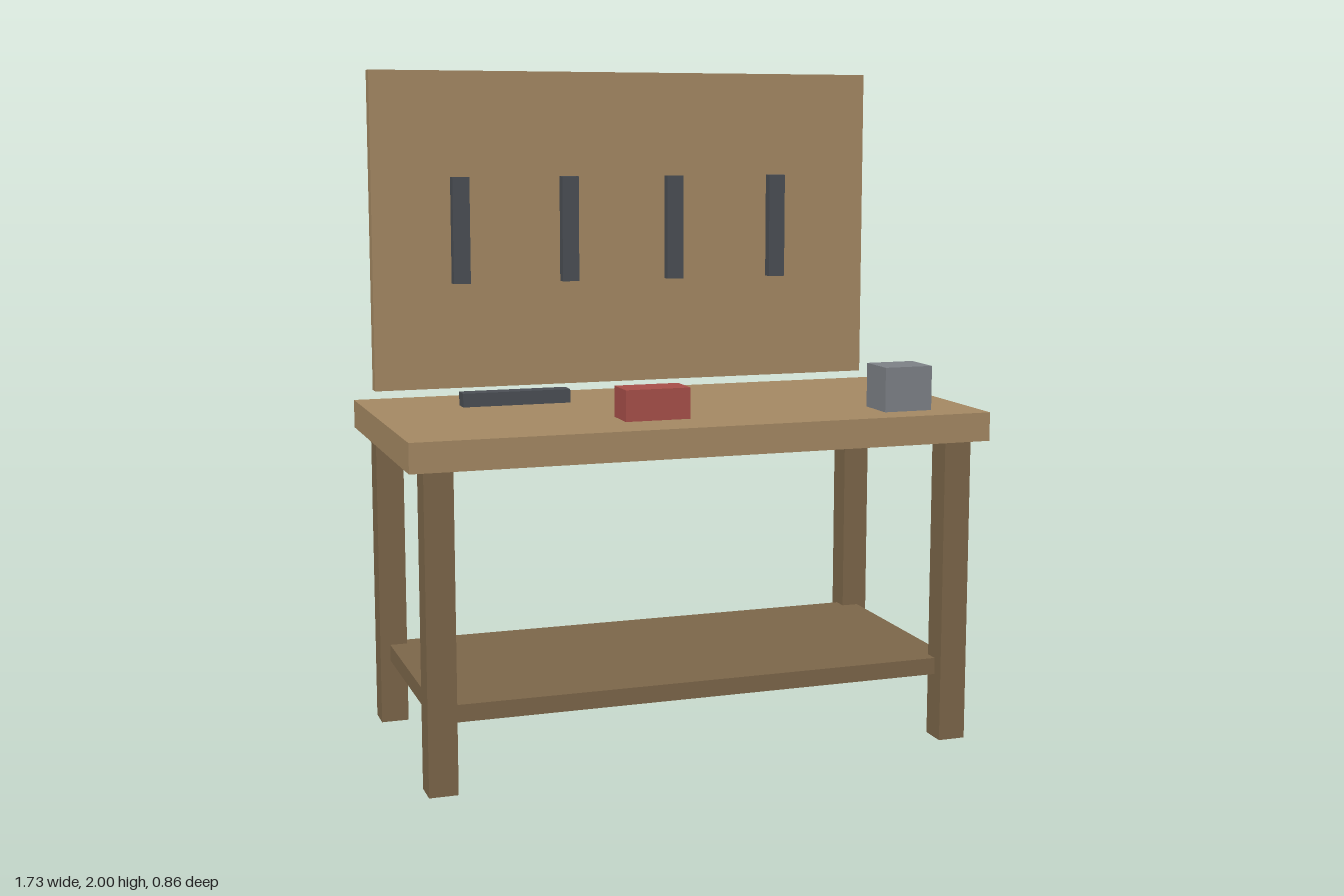
import * as THREE from 'three';

const paint = (name, color) => {
  const m = new THREE.MeshStandardMaterial({ color });
  m.name = name;
  return m;
};

export function createModel() {
  const model = new THREE.Group();
  model.name = 'workbench';

  const lightWood = paint('light wood', 0xa68a64);
  const darkWood = paint('dark wood', 0x7d674a);
  const darkSteel = paint('dark steel', 0x4b4f55);
  const grey = paint('grey metal', 0x7e8288);
  const red = paint('red paint', 0xa9504a);

  // Box given by its lower and upper limits on each axis
  const box = (name, material, [x0, x1], [y0, y1], [z0, z1]) => {
    const mesh = new THREE.Mesh(new THREE.BoxGeometry(x1 - x0, y1 - y0, z1 - z0), material);
    mesh.position.set((x0 + x1) / 2, (y0 + y1) / 2, (z0 + z1) / 2);
    mesh.name = name;
    model.add(mesh);
  };
  const around = (c, size) => [c - size / 2, c + size / 2];

  // Bench: top, four legs and lower shelf
  box('benchTop', lightWood, [-0.865, 0.865], [0.913, 0.998], [-0.432, 0.432]);
  for (const x of [-0.779, 0.779]) {
    for (const z of [-0.356, 0.358]) {
      box('leg', darkWood, around(x, 0.083), [0, 0.913], around(z, 0.083));
    }
  }
  box('shelf', darkWood, [-0.79, 0.79], [0.195, 0.245], [-0.36, 0.36]);

  // Back board with a row of hanging tools
  box('backBoard', lightWood, [-0.81, 0.81], [1.03, 2], [-0.411, -0.368]);
  for (const x of [-0.541, -0.195, 0.149, 0.495]) {
    box('hangingTool', darkSteel, around(x, 0.053), [1.355, 1.68], [-0.364, -0.332]);
  }

  // Items lying on the bench
  box('steelBar', darkSteel, [-0.6, -0.272], [1.01, 1.051], [-0.136, -0.082]);
  box('redBox', red, [-0.208, -0.013], [0.998, 1.089], [0.16, 0.268]);
  box('greyBlock', grey, [0.572, 0.722], [0.998, 1.13], [0.204, 0.334]);

  return model;
}
